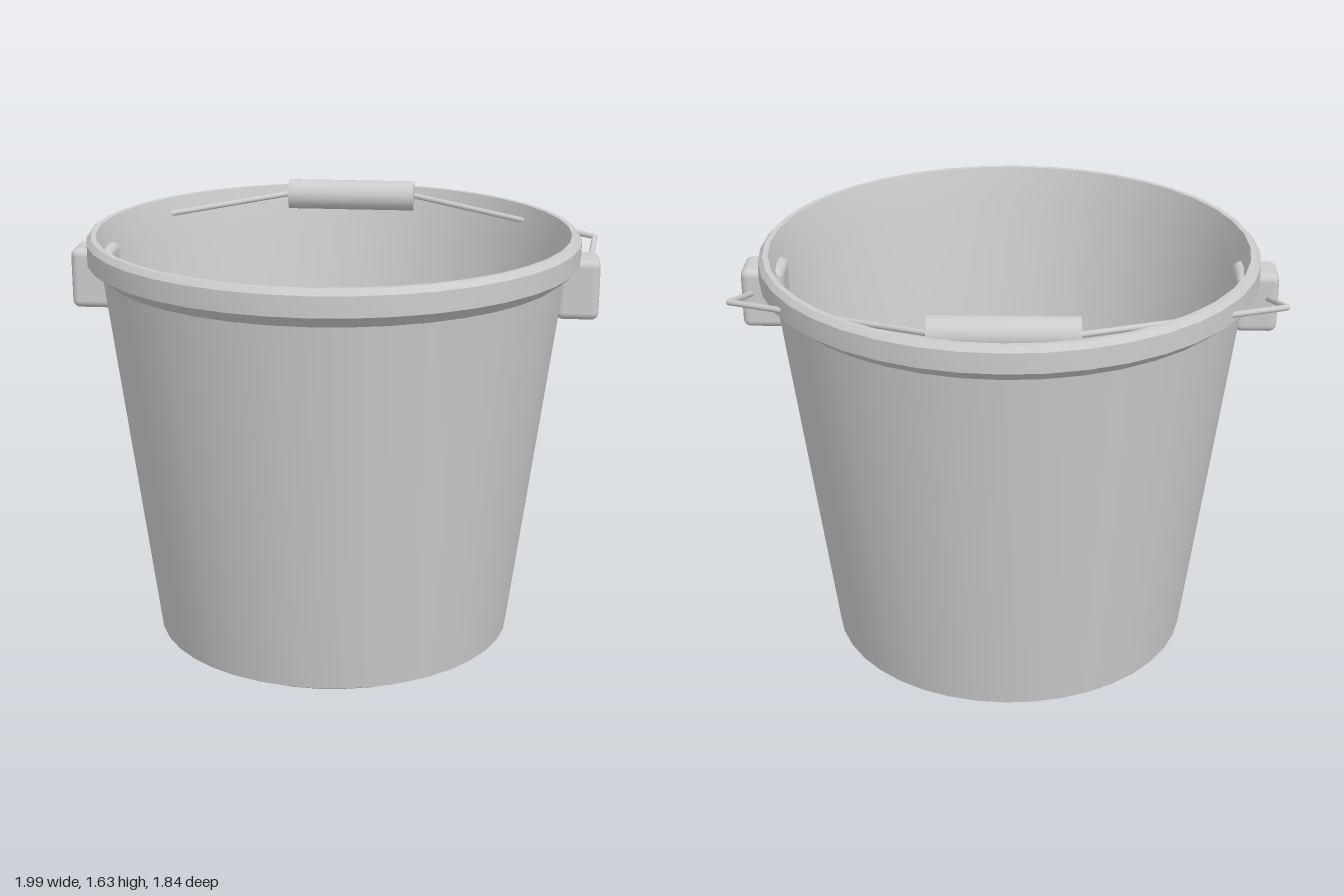
import * as THREE from 'three';
import { toCreasedNormals } from 'three/addons/utils/BufferGeometryUtils.js';
import { RoundedBoxGeometry } from 'three/addons/geometries/RoundedBoxGeometry.js';

export function createModel() {
  const model = new THREE.Group();
  const grey = new THREE.MeshStandardMaterial({ color: 0xcccccc });
  grey.name = 'grey plastic';

  function add(name, geometry, parent = model) {
    const mesh = new THREE.Mesh(geometry, grey);
    mesh.name = name;
    parent.add(mesh);
    return mesh;
  }

  // Bucket shell: underside, outer wall, flared rim, inner wall and floor
  const profile = [
    [0, 0], [0.62, 0], [0.685, 0.035], [0.868, 1.455], [0.922, 1.5],
    [0.922, 1.575], [0.905, 1.595], [0.885, 1.595], [0.85, 1.45],
    [0.667, 0.04], [0, 0.04],
  ].map(([r, y]) => new THREE.Vector2(r, y));
  add('bucket', toCreasedNormals(new THREE.LatheGeometry(profile, 40), 0.4));

  // Handle: bent wire on both sides, with a round grip in the middle
  const handle = new THREE.Group();
  handle.name = 'handle';
  model.add(handle);

  function rod(name, a, b, radius) {
    const dir = b.clone().sub(a);
    const mesh = add(name, new THREE.CylinderGeometry(radius, radius, dir.length(), 10), handle);
    mesh.position.copy(a).lerp(b, 0.5);
    mesh.quaternion.setFromUnitVectors(new THREE.Vector3(0, 1, 0), dir.normalize());
  }

  for (const [label, s] of [['left', 1], ['right', -1]]) {
    // Handle mount, poking slightly through the wall
    const mount = add(label + 'Mount', new RoundedBoxGeometry(0.16, 0.228, 0.168, 3, 0.028));
    mount.position.set(s * 0.912, 1.401, 0);

    const pivot = new THREE.Vector3(s * 0.945, 1.4, 0);
    const elbow = new THREE.Vector3(s * 0.985, 1.508, -0.36);
    const gripEnd = new THREE.Vector3(s * 0.25, 1.575, -0.765);
    rod(label + 'LowerWire', pivot, elbow, 0.011);
    rod(label + 'UpperWire', elbow, gripEnd, 0.011);
    add(label + 'WireElbow', new THREE.SphereGeometry(0.011, 10, 8), handle).position.copy(elbow);
  }

  rod('grip', new THREE.Vector3(-0.258, 1.574, -0.757), new THREE.Vector3(0.258, 1.574, -0.757), 0.06);
  const grip = handle.children[handle.children.length - 1];
  grip.geometry = new THREE.CylinderGeometry(0.06, 0.06, 0.516, 24);

  return model;
}
